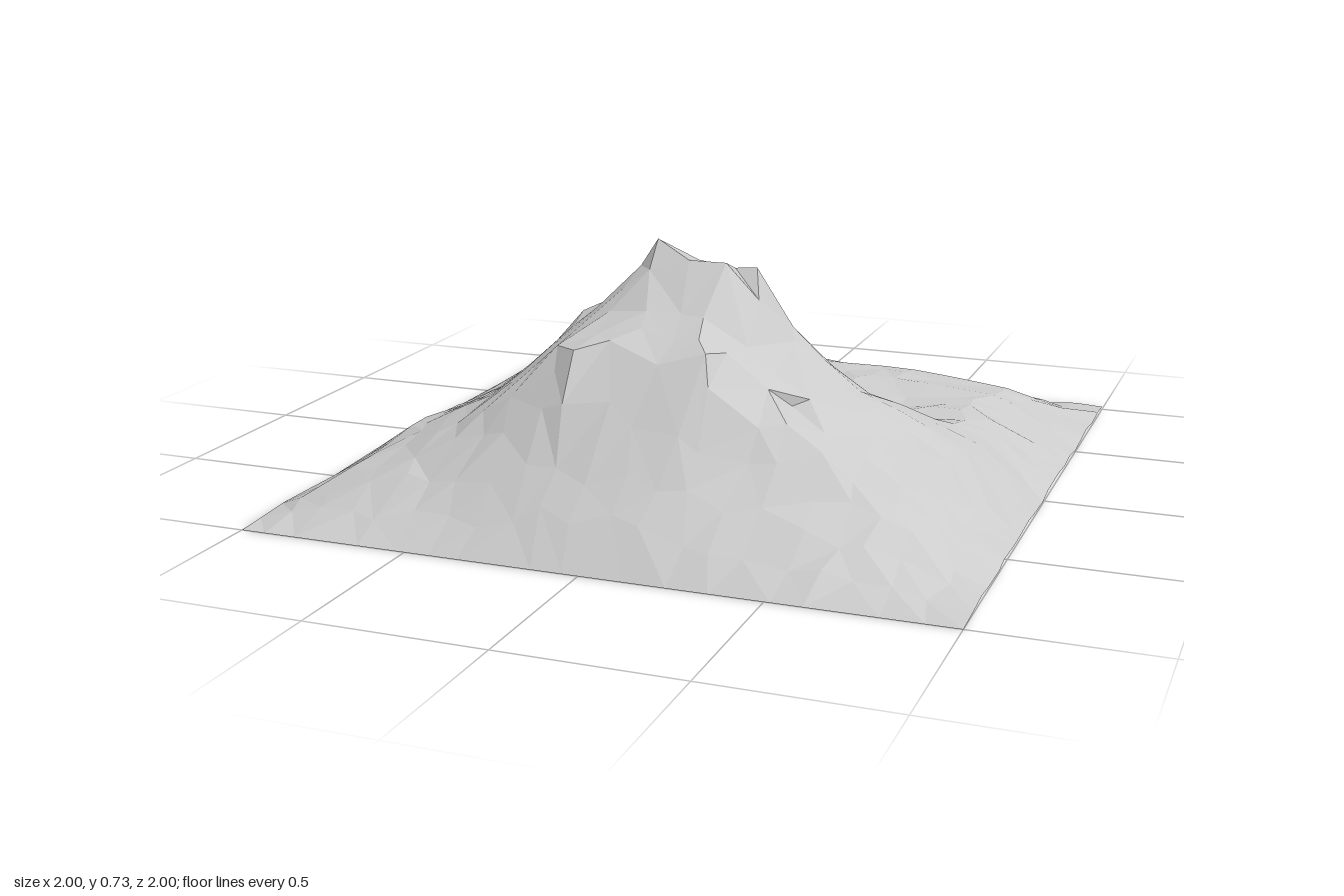
import * as THREE from 'three';

const DIV = 21;
const STEP = 2 / DIV;

// Cross-sections of the land: heights at these x stations, one row per z
const XS = [-1, -0.8, -0.55, -0.4, -0.2, -0.07, 0.18, 0.3, 0.5, 0.75, 1];
const SECTIONS = [
  [-0.75, 0.08, 0.11, 0.13, 0.15, 0.16, 0.16, 0.16, 0.15, 0.11],
  [-0.53, 0.13, 0.26, 0.27, 0.24, 0.21, 0.19, 0.18, 0.17, 0.14],
  [-0.42, 0.14, 0.31, 0.29, 0.22, 0.19, 0.19, 0.19, 0.17, 0.15],
  [-0.25, 0.12, 0.18, 0.19, 0.20, 0.21, 0.21, 0.20, 0.17, 0.17],
  [-0.10, 0.12, 0.17, 0.21, 0.26, 0.29, 0.29, 0.25, 0.18, 0.18],
  [0.03, 0.13, 0.20, 0.27, 0.36, 0.40, 0.39, 0.33, 0.23, 0.21],
  [0.13, 0.14, 0.23, 0.34, 0.51, 0.62, 0.57, 0.45, 0.31, 0.23],
  [0.24, 0.14, 0.25, 0.40, 0.58, 0.72, 0.66, 0.53, 0.36, 0.25],
  [0.32, 0.15, 0.26, 0.40, 0.57, 0.67, 0.68, 0.53, 0.36, 0.24],
  [0.45, 0.15, 0.26, 0.38, 0.53, 0.56, 0.56, 0.45, 0.33, 0.21],
  [0.61, 0.13, 0.23, 0.34, 0.48, 0.48, 0.47, 0.38, 0.30, 0.17],
  [0.77, 0.11, 0.16, 0.20, 0.25, 0.26, 0.25, 0.20, 0.16, 0.10],
].map(([z, ...h]) => ({ z, h: [0.01, ...h, 0.01] }));
const flat = (z, y) => ({ z, h: XS.map(() => y) });
const ROWS = [flat(-1, 0.01), ...SECTIONS, flat(1, 0)];

// Summits, shoulders and spur corners that must be crisp: x, y, z
const LANDMARKS = [
  [-0.08, 0.73, 0.24], [0.04, 0.69, 0.31], [0.15, 0.69, 0.31], [0.22, 0.67, 0.25],
  [0.02, 0.62, 0.14], [-0.14, 0.6, 0.15], [0.03, 0.41, 0.04], [-0.32, 0.5, 0.23],
  [-0.17, 0.49, 0.63], [-0.17, 0.36, 0.71], [-0.25, 0.48, 0.56],
  [-0.09, 0.51, 0.57], [0.08, 0.51, 0.54], [0.19, 0.5, 0.58],
  [0.36, 0.33, 0.64], [0.4, 0.35, 0.48], [0.73, 0.19, 0.57],
];
const KNOLL = [
  [-0.55, 0.32, -0.4], [-0.45, 0.31, -0.41], [-0.34, 0.25, -0.34], [-0.51, 0.31, -0.5],
];

function seeded(seed) {
  return () => {
    seed = (seed * 16807) % 2147483647;
    return seed / 2147483647 - 0.5;
  };
}

// Index of the interval holding v, and the fraction across it
function locate(stations, v) {
  let i = 0;
  while (i < stations.length - 2 && v > stations[i + 1]) i++;
  return [i, (v - stations[i]) / (stations[i + 1] - stations[i])];
}

function heightAt(x, z) {
  const [i, u] = locate(XS, x);
  const [j, v] = locate(ROWS.map((r) => r.z), z);
  const across = (row) => THREE.MathUtils.lerp(row.h[i], row.h[i + 1], u);
  return THREE.MathUtils.lerp(across(ROWS[j]), across(ROWS[j + 1]), v);
}

function terrainGeometry() {
  const rand = seeded(4217);
  const points = [];

  // Irregular grid with a straight square border
  for (let j = 0; j <= DIV; j++) {
    for (let i = 0; i <= DIV; i++) {
      const sideEdge = i === 0 || i === DIV;
      const endEdge = j === 0 || j === DIV;
      const x = -1 + i * STEP + (sideEdge ? 0 : rand() * STEP * 0.55);
      const z = -1 + j * STEP + (endEdge ? 0 : rand() * STEP * 0.55);
      const y = j === DIV ? 0 : Math.max(0, heightAt(x, z) + rand() * 0.014);
      points.push(new THREE.Vector3(x, y, z));
    }
  }

  // Move the nearest free vertex onto each landmark
  const taken = new Set();
  for (const mark of [...LANDMARKS, ...KNOLL]) {
    let best = -1;
    let bestDistance = Infinity;
    points.forEach((p, k) => {
      const d = Math.hypot(p.x - mark[0], p.z - mark[2]);
      if (!taken.has(k) && d < bestDistance) {
        best = k;
        bestDistance = d;
      }
    });
    taken.add(best);
    points[best].set(...mark);
  }

  // Two triangles per cell, split along the diagonal nearest the land's height
  const misfit = (p, q) =>
    Math.abs((p.y + q.y) / 2 - heightAt((p.x + q.x) / 2, (p.z + q.z) / 2));
  const index = [];
  for (let j = 0; j < DIV; j++) {
    for (let i = 0; i < DIV; i++) {
      const a = j * (DIV + 1) + i;
      const b = a + 1;
      const c = a + DIV + 1;
      const d = c + 1;
      if (misfit(points[a], points[d]) < misfit(points[b], points[c])) {
        index.push(a, c, d, a, d, b);
      } else {
        index.push(a, c, b, b, c, d);
      }
    }
  }

  const geometry = new THREE.BufferGeometry().setFromPoints(points);
  geometry.setIndex(index);
  geometry.computeVertexNormals();
  return geometry;
}

export function createModel() {
  const group = new THREE.Group();
  group.name = 'mountain';
  const material = new THREE.MeshStandardMaterial({
    color: 0xcccccc,
    flatShading: true,
    side: THREE.DoubleSide,
  });
  const terrain = new THREE.Mesh(terrainGeometry(), material);
  terrain.name = 'mountainTerrain';
  group.add(terrain);
  return group;
}
